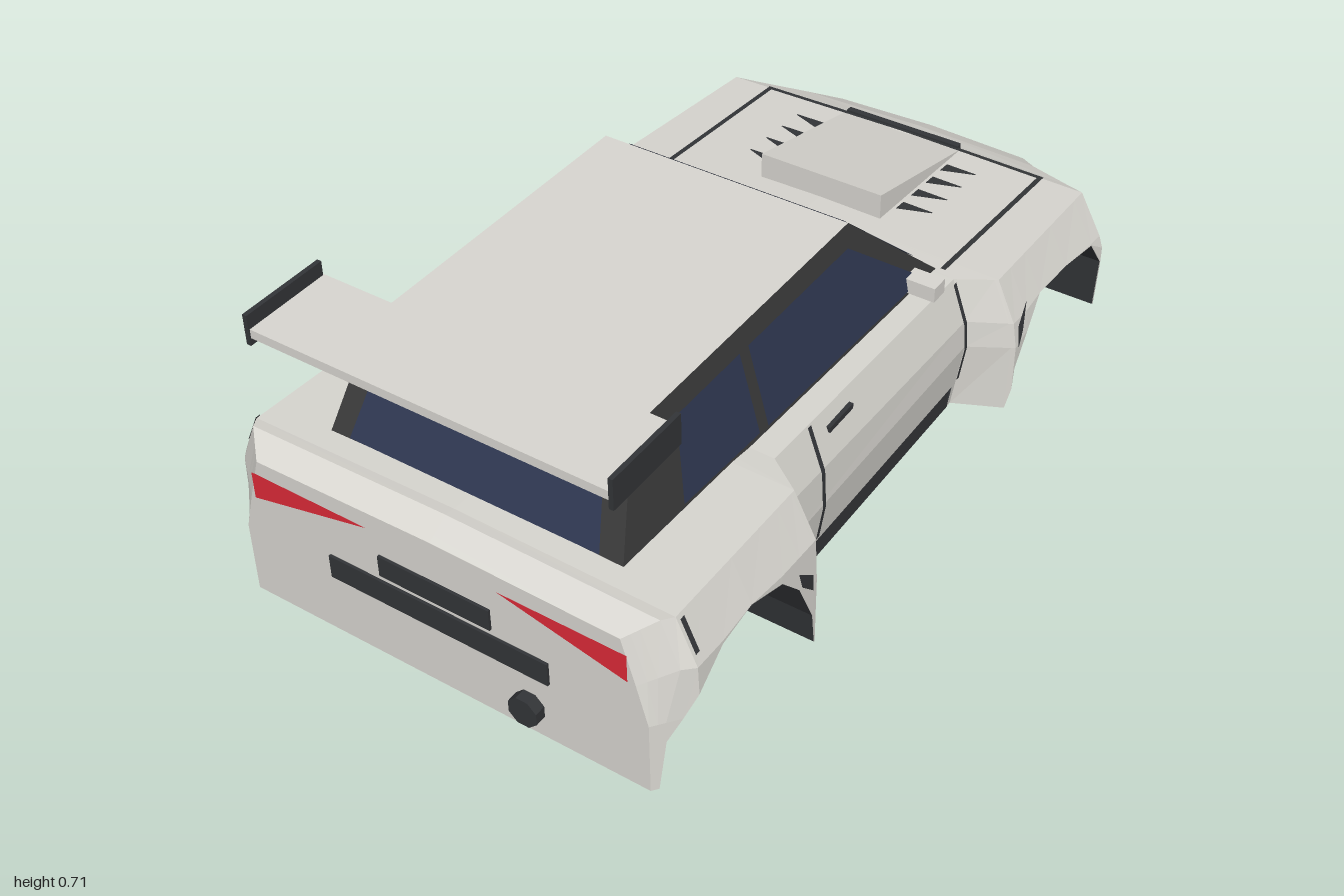
import * as THREE from 'three';

const mat = (color) => new THREE.MeshStandardMaterial({ color, flatShading: true, side: THREE.DoubleSide });
const paint = mat(0xd9d7d1), dark = mat(0x333538), pillar = mat(0x3a3a3a), glass = mat(0x2f3852),
  red = mat(0xdd2a38), amber = mat(0xb8a66a);

// Body stations: z, half-widths at four heights (sill, waist, flare edge, shoulder), shoulder height
const stations = [
  [-0.94, 0.28, 0.28, 0.27, 0.25, 0.23],
  [-0.865, 0.37, 0.37, 0.36, 0.31, 0.27],
  [-0.81, 0.5, 0.5, 0.49, 0.42, 0.29],
  [-0.785, 0.535, 0.535, 0.525, 0.47, 0.3],
  [-0.34, 0.535, 0.535, 0.525, 0.48, 0.332],
  [-0.285, 0.415, 0.44, 0.435, 0.4, 0.336],
  [0.44, 0.415, 0.44, 0.435, 0.4, 0.365],
  [0.5, 0.535, 0.535, 0.53, 0.48, 0.37],
  [0.9, 0.535, 0.535, 0.53, 0.485, 0.385],
  [0.925, 0.515, 0.515, 0.51, 0.47, 0.39],
  [0.975, 0.475, 0.475, 0.45, 0.42, 0.36],
];
// Lower edge of the body along z: nose, front arch, sill, rear arch, tail
const edge = [
  [-0.94, 0], [-0.79, 0], [-0.785, 0.13], [-0.74, 0.2], [-0.61, 0.22], [-0.475, 0.23], [-0.4, 0.18],
  [-0.345, 0.11], [-0.335, 0], [-0.271, 0], [-0.27, 0.06], [0.439, 0.06], [0.44, 0], [0.5, 0],
  [0.51, 0.08], [0.56, 0.19], [0.62, 0.255], [0.72, 0.285], [0.82, 0.275], [0.9, 0.22], [0.95, 0.12],
  [0.962, 0], [0.975, 0],
];

function sample(table, z) {
  let i = 0;
  while (i < table.length - 2 && table[i + 1][0] < z) i++;
  const a = table[i], b = table[i + 1];
  const t = THREE.MathUtils.clamp((z - a[0]) / (b[0] - a[0]), 0, 1);
  return a.map((v, k) => v + (b[k] - v) * t);
}

// Half-width of the body side at a given z and height
function skinX(z, y) {
  const [, x0, x1, x2, x3, top] = sample(stations, z);
  return sample([[0, x0], [Math.min(0.17, top - 0.11), x1], [top - 0.1, x2], [top, x3]], y)[1];
}

function deckY(x, z) {
  const s = sample(stations, z);
  return s[5] + 0.008 * (1 - Math.abs(x) / s[4]);
}

// Open section from the left lower edge over the top to the right lower edge
function section(z) {
  const low = sample(edge, z)[1], top = sample(stations, z)[5];
  const half = [0, Math.min(0.17, top - 0.11), top - 0.1, top].map((l) => {
    const y = Math.max(low, l);
    return [skinX(z, y), y, z];
  });
  return [...half, [0, top + 0.008, z], ...half.map(([x, y]) => [-x, y, z]).reverse()];
}

// Surface through equal-length rows of points
function loft(rows) {
  const n = rows[0].length, index = [];
  for (let i = 0; i < rows.length - 1; i++)
    for (let j = 0; j < n - 1; j++) {
      const a = i * n + j, b = a + n;
      index.push(a, b, a + 1, a + 1, b, b + 1);
    }
  const geo = new THREE.BufferGeometry();
  geo.setAttribute('position', new THREE.Float32BufferAttribute(rows.flat(2), 3));
  geo.setIndex(index);
  const flat = geo.toNonIndexed();
  flat.computeVertexNormals();
  return flat;
}

export function createModel() {
  const car = new THREE.Group();
  car.name = 'rallyCar';
  const add = (name, geo, material, x = 0, y = 0, z = 0) => {
    const m = new THREE.Mesh(geo, material);
    m.name = name;
    m.position.set(x, y, z);
    car.add(m);
    return m;
  };
  const box = (name, material, w, h, d, x, y, z) => add(name, new THREE.BoxGeometry(w, h, d), material, x, y, z);
  const quad = (name, material, a, b, c, d) => add(name, loft([[a, b], [d, c]]), material);
  const flatShape = (pts) => new THREE.ShapeGeometry(new THREE.Shape(pts.map(([x, y]) => new THREE.Vector2(x, y))));

  // Body shell, wheel arch liners and floor
  const zs = [...new Set([...stations, ...edge].map((s) => s[0]))].sort((a, b) => a - b);
  add('bodyShell', loft(zs.map(section)), paint);
  add('archLinersAndFloor', loft(zs.map((z) => {
    const y = sample(edge, z)[1], x = skinX(z, y) - 0.002;
    return [[x, y, z], [-x, y, z]];
  })), dark);
  add('tailPanel', flatShape(section(0.975)), paint, 0, 0, 0.975);
  add('nosePanel', flatShape(section(-0.94)), paint, 0, 0, -0.94).rotation.y = Math.PI;
  box('sills', dark, 0.832, 0.06, 0.71, 0, 0.03, 0.085);

  // Cabin
  const cabX = (y) => 0.345 - (y - 0.36) * 0.2;
  const corner = (s, y, z, out = 0) => [s * (cabX(y) + out), y, z];
  const ring = (s) => [corner(s, 0.33, -0.305), corner(s, 0.61, 0), corner(s, 0.61, 0.75), corner(s, 0.38, 0.852)];
  const [lf, lrf, lrr, lr] = ring(1), [rf, rrf, rrr, rr] = ring(-1);
  quad('windscreenFrame', pillar, lf, lrf, rrf, rf);
  quad('rearFrame', pillar, lr, lrr, rrr, rr);
  quad('roof', paint, lrf, lrr, rrr, rrf);
  quad('windscreen', glass, [0.31, 0.375, -0.265], [0.265, 0.582, -0.037], [-0.265, 0.582, -0.037], [-0.31, 0.375, -0.265]);
  quad('rearWindow', glass, [0.29, 0.392, 0.853], [0.25, 0.582, 0.768], [-0.25, 0.582, 0.768], [-0.29, 0.392, 0.853]);

  // Cockpit sides, doors and flare details, mirrored
  for (const s of [1, -1]) {
    quad('sideFrame', pillar, ...ring(s));
    const pane = (name, pts) => quad(name, glass, ...pts.map(([z, y]) => corner(s, y, z, 0.004)));
    pane('frontSideWindow', [[0.375, 0.375], [0.39, 0.565], [0.02, 0.565], [-0.24, 0.35]]);
    pane('rearSideWindow', [[0.66, 0.39], [0.63, 0.565], [0.42, 0.565], [0.405, 0.378]]);
    const skin = (z, y, out = 0.005) => [s * (skinX(z, y) + out), y, z];
    const seam = (name, z, ys) => add(name, loft(ys.map((y) => [skin(z - 0.006, y), skin(z + 0.006, y)])), dark);
    seam('doorRearSeam', 0.32, [0.08, 0.17, 0.26, 0.36]);
    seam('doorFrontSeam', -0.279, [0.08, 0.17, 0.236, 0.33]);
    seam('rearFlareSeam', 0.89, [0.31, 0.345, 0.38]);
    box('doorHandle', dark, 0.014, 0.013, 0.09, s * skinX(0.22, 0.318), 0.318, 0.22);
    quad('rearFlareVent', dark, skin(0.57, 0.24), skin(0.52, 0.2), skin(0.52, 0.16), skin(0.56, 0.2));
    quad('frontFlareVent', dark, skin(-0.41, 0.25), skin(-0.35, 0.22), skin(-0.345, 0.17), skin(-0.37, 0.2));
    box('mirror', paint, 0.075, 0.035, 0.045, s * 0.375, 0.367, -0.195);

    // Lamps
    add('tailLight', flatShape([[s * 0.435, 0.265], [s * 0.435, 0.33], [s * 0.15, 0.33]]), red, 0, 0, 0.979);
    add('headlight', flatShape([[s * 0.24, 0.18], [s * 0.24, 0.215], [s * 0.05, 0.195]]), paint, 0, 0, -0.945);

    // Bonnet seams and louvres
    const deck = (x, z) => [s * x, deckY(x, z) + 0.004, z];
    quad('bonnetSideSeam', dark, deck(0.36, -0.785), deck(0.372, -0.785), deck(0.372, -0.3), deck(0.36, -0.3));
    quad('bonnetFrontSeam', dark, deck(0, -0.785), deck(0.372, -0.785), deck(0.372, -0.773), deck(0, -0.773));
    for (let i = 0; i < 4; i++) {
      const z = -0.7 + i * 0.07;
      quad('bonnetLouvre', dark, deck(0.165, z), deck(0.24, z), deck(0.24, z + 0.004), deck(0.165, z + 0.035));
    }

    // Wing supports and end plates
    box('wingSupport', dark, 0.034, 0.05, 0.1, s * 0.265, 0.632, 0.86);
    box('wingEndPlate', dark, 0.01, 0.068, 0.2, s * 0.402, 0.673, 0.86);
  }

  // Bonnet scoop wedge
  const scoop = new THREE.ExtrudeGeometry(
    new THREE.Shape([[0.4, 0.32], [0.4, 0.395], [0.785, 0.306], [0.785, 0.28]].map((p) => new THREE.Vector2(...p))),
    { depth: 0.31, bevelEnabled: false });
  add('bonnetScoop', scoop.rotateY(Math.PI / 2).translate(-0.155, 0, 0), paint);
  box('scoopIntake', dark, 0.3, 0.016, 0.016, 0, 0.307, -0.789);

  // Rear wing
  box('wing', paint, 0.8, 0.02, 0.2, 0, 0.665, 0.857);
  box('roofLip', dark, 0.595, 0.02, 0.17, 0, 0.624, 0.83);

  // Tail fittings
  box('plateRecess', dark, 0.26, 0.05, 0.01, 0, 0.246, 0.976);
  box('rearVent', dark, 0.515, 0.055, 0.01, 0, 0.178, 0.976);
  const octagon = (r, d) => new THREE.CylinderGeometry(r, r, d, 8).rotateX(Math.PI / 2).rotateZ(Math.PI / 8);
  add('exhaust', octagon(0.035, 0.06), dark, 0.208, 0.068, 0.97);

  // Splitter and lamp bar
  box('splitter', dark, 0.735, 0.01, 0.1, 0, 0.048, -0.912);
  box('lampBar', dark, 0.57, 0.1, 0.035, 0, 0.115, -0.972);
  for (const x of [-0.213, -0.071, 0.071, 0.213]) add('spotLamp', octagon(0.06, 0.04), amber, x, 0.117, -0.98);

  return car;
}
